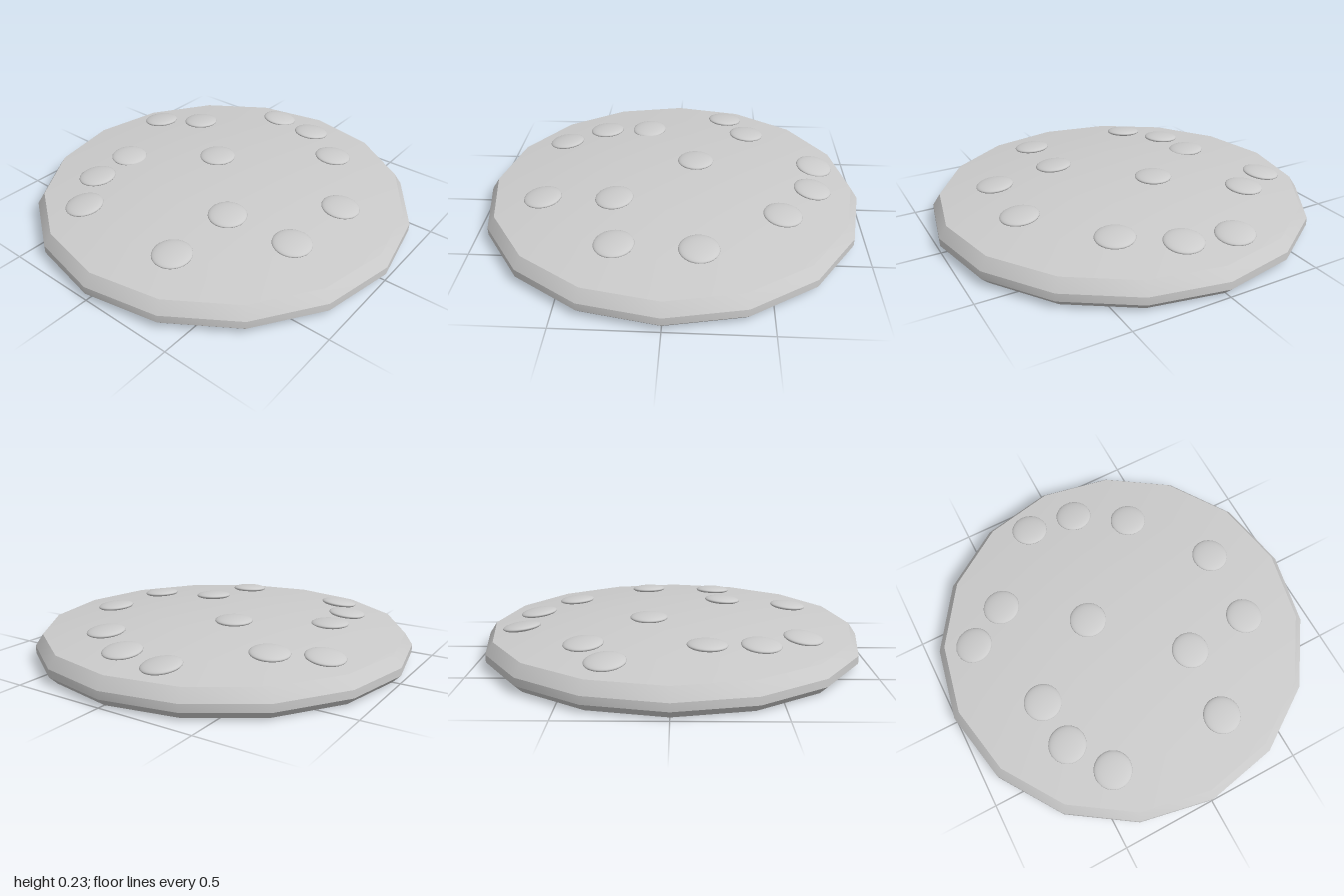
import * as THREE from 'three';
import { toCreasedNormals } from 'three/addons/utils/BufferGeometryUtils.js';

// Domed top of the biscuit: [radius, height]
const DOME = [[0, 0.2], [0.36, 0.2], [0.72, 0.17], [0.96, 0.14]];

// Height and slope of the dome at radius r
function domeAt(r) {
  let i = 1;
  while (i < DOME.length - 1 && r > DOME[i][0]) i++;
  const [r0, y0] = DOME[i - 1], [r1, y1] = DOME[i];
  const slope = (y1 - y0) / (r1 - r0);
  return { y: y0 + slope * (r - r0), slope };
}

export function createModel() {
  const model = new THREE.Group();
  model.name = 'cookie';
  const material = new THREE.MeshStandardMaterial({ color: 0xcccccc });

  // Sixteen-sided biscuit with a bevelled rim
  const rim = [[0, 0], [0.96, 0], [1, 0.04], [1, 0.08]];
  const profile = [...rim, ...[...DOME].reverse()].map(([r, y]) => new THREE.Vector2(r, y));
  const biscuit = new THREE.Mesh(
    toCreasedNormals(new THREE.LatheGeometry(profile, 16), 0.56), material);
  biscuit.name = 'biscuit';
  model.add(biscuit);

  // Chips: [x, z, lift above the dome, extra tilt about z]
  const chips = [
    [-0.18, -0.78, 0.008, -0.09], [0.08, -0.74, 0.01, 0], [0.34, -0.565, 0.01, 0],
    [-0.52, -0.415, 0.01, 0], [-0.74, -0.29, 0.01, 0], [-0.14, -0.12, 0.01, 0],
    [0.64, -0.155, 0.01, 0], [-0.55, 0.17, 0.006, -0.1], [0.26, 0.285, 0.01, 0],
    [0.62, 0.245, 0.01, 0], [-0.535, 0.425, 0.01, 0], [-0.39, 0.645, 0.01, 0],
    [0.235, 0.66, 0.01, 0],
  ];
  const chipGeometry = new THREE.SphereGeometry(1, 32, 16).scale(0.098, 0.021, 0.098);
  const up = new THREE.Vector3(0, 1, 0);
  chips.forEach(([x, z, lift, tilt], i) => {
    const r = Math.hypot(x, z);
    const { y, slope } = domeAt(r);
    const normal = new THREE.Vector3(-slope * x / r, 1, -slope * z / r).normalize();
    const chip = new THREE.Mesh(chipGeometry, material);
    chip.name = `chip${i + 1}`;
    chip.position.set(x, y + lift, z);
    chip.quaternion.setFromUnitVectors(up, normal);
    chip.rotateZ(tilt);
    model.add(chip);
  });
  return model;
}
